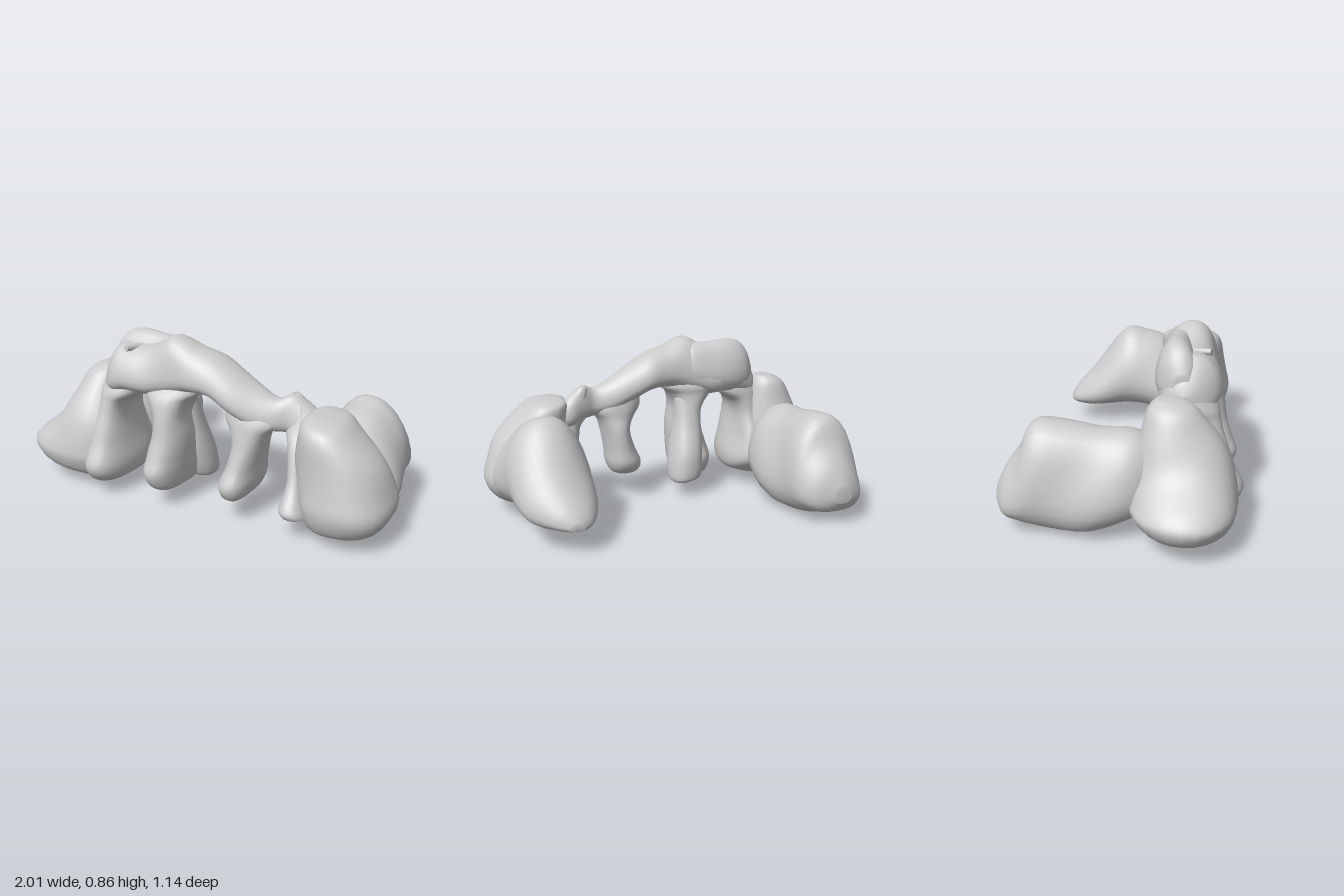
import * as THREE from 'three';

const SIDES = 28;
const STEPS = 5;

// Catmull-Rom blend of two neighbouring sections
function blend(rows, i, t) {
  const at = (k) => rows[Math.min(Math.max(k, 0), rows.length - 1)];
  const [a, b, c, d] = [at(i - 1), at(i), at(i + 1), at(i + 2)];
  return b.map((p1, k) => {
    const m1 = (c[k] - a[k]) / 2, m2 = (d[k] - p1) / 2;
    const t2 = t * t, t3 = t2 * t;
    return (2 * t3 - 3 * t2 + 1) * p1 + (t3 - 2 * t2 + t) * m1 + (3 * t2 - 2 * t3) * c[k] + (t3 - t2) * m2;
  });
}

// Weathered stone body lofted along one axis.
// Section: [position, centre u, centre v, radius u, radius v]
// axis x: u = z, v = y   axis y: u = x, v = z   axis z: u = x, v = y
// taper narrows u towards +v, power squares off the outline
function loft(name, axis, rows, { power = 2.3, taper = 0, bump = 0.008 } = {}) {
  const place = {
    x: (w, u, v) => [w, v, u],
    y: (w, u, v) => [u, w, v],
    z: (w, u, v) => [u, v, w],
  }[axis];
  const flip = axis !== 'z';
  const sections = [];
  for (let i = 0; i < rows.length - 1; i++) {
    for (let s = 0; s < STEPS; s++) sections.push(blend(rows, i, s / STEPS));
  }
  sections.push(rows[rows.length - 1]);

  const pos = [], index = [];
  const tri = (a, b, c) => (flip ? index.push(a, c, b) : index.push(a, b, c));
  const round = (n) => Math.sign(n) * Math.abs(n) ** (2 / power);
  for (const [w, cu, cv, ru, rv] of sections) {
    for (let j = 0; j < SIDES; j++) {
      const a = (j / SIDES) * Math.PI * 2;
      const v = round(Math.sin(a));
      const u = round(Math.cos(a)) * (1 - taper * v);
      const [x, y, z] = place(w, cu + ru * u, cv + rv * v);
      const n = bump * (Math.sin(13 * x + 9 * y) + Math.sin(15 * z - 11 * y + 2 * x));
      pos.push(...place(w, cu + ru * u + n * Math.cos(a), cv + rv * v + n * Math.sin(a)));
    }
  }
  const last = (sections.length - 1) * SIDES;
  for (let r = 0; r < last; r += SIDES) {
    for (let j = 0; j < SIDES; j++) {
      const k = (j + 1) % SIDES;
      tri(r + j, r + k, r + SIDES + j);
      tri(r + k, r + SIDES + k, r + SIDES + j);
    }
  }
  // end caps
  const c0 = pos.length / 3, c1 = c0 + 1;
  pos.push(...place(...rows[0].slice(0, 3)), ...place(...rows[rows.length - 1].slice(0, 3)));
  for (let j = 0; j < SIDES; j++) {
    const k = (j + 1) % SIDES;
    tri(c0, k, j);
    tri(c1, last + j, last + k);
  }
  const geo = new THREE.BufferGeometry();
  geo.setAttribute('position', new THREE.Float32BufferAttribute(pos, 3));
  geo.setIndex(index);
  geo.computeVertexNormals();
  const mesh = new THREE.Mesh(geo, new THREE.MeshStandardMaterial({ color: 0xcccccc, roughness: 0.9 }));
  mesh.name = name;
  return mesh;
}

export function createModel() {
  const group = new THREE.Group();
  group.name = 'rockArch';

  // Arched ridge that spans the boulders
  group.add(loft('archRidge', 'x', [
    [-0.54, 0.29, 0.58, 0.04, 0.05],
    [-0.51, 0.3, 0.6, 0.1, 0.09],
    [-0.44, 0.31, 0.65, 0.14, 0.125],
    [-0.36, 0.31, 0.67, 0.145, 0.11],
    [-0.25, 0.3, 0.68, 0.145, 0.125],
    [-0.13, 0.3, 0.715, 0.135, 0.15],
    [0, 0.3, 0.705, 0.13, 0.108],
    [0.1, 0.29, 0.69, 0.125, 0.092],
    [0.2, 0.29, 0.64, 0.115, 0.095],
    [0.3, 0.28, 0.59, 0.1, 0.095],
    [0.4, 0.27, 0.56, 0.08, 0.085],
    [0.47, 0.24, 0.56, 0.075, 0.1],
    [0.55, 0.22, 0.52, 0.08, 0.09],
    [0.62, 0.22, 0.5, 0.05, 0.05],
  ], { taper: 0.2 }));

  // Raised crest along the back of the ridge, behind the peg
  group.add(loft('ridgeCrest', 'x', [
    [-0.51, 0.27, 0.66, 0.04, 0.05],
    [-0.46, 0.25, 0.69, 0.08, 0.11],
    [-0.38, 0.235, 0.71, 0.085, 0.14],
    [-0.24, 0.235, 0.72, 0.085, 0.13],
    [-0.13, 0.25, 0.72, 0.085, 0.11],
    [-0.05, 0.27, 0.7, 0.05, 0.06],
  ], { taper: 0.2 }));

  // Pillars under the ridge, flared into it and spreading into long feet
  group.add(loft('rightPillar', 'y', [
    [0.07, -0.52, 0.38, 0.06, 0.1],
    [0.1, -0.5, 0.35, 0.11, 0.18],
    [0.18, -0.49, 0.32, 0.12, 0.25],
    [0.3, -0.48, 0.31, 0.09, 0.21],
    [0.42, -0.475, 0.31, 0.075, 0.165],
    [0.5, -0.465, 0.31, 0.085, 0.15],
    [0.56, -0.44, 0.31, 0.12, 0.14],
    [0.66, -0.42, 0.3, 0.1, 0.1],
  ]));
  group.add(loft('middleRightPillar', 'y', [
    [0.09, -0.14, 0.34, 0.05, 0.1],
    [0.12, -0.15, 0.33, 0.09, 0.18],
    [0.2, -0.16, 0.33, 0.105, 0.22],
    [0.28, -0.15, 0.33, 0.095, 0.19],
    [0.38, -0.13, 0.31, 0.08, 0.165],
    [0.48, -0.13, 0.31, 0.08, 0.15],
    [0.56, -0.14, 0.31, 0.125, 0.14],
    [0.61, -0.14, 0.3, 0.17, 0.13],
    [0.68, -0.14, 0.3, 0.14, 0.1],
  ]));
  group.add(loft('middleRightHeel', 'y', [
    [0.09, -0.06, 0.15, 0.04, 0.05],
    [0.12, -0.09, 0.16, 0.085, 0.09],
    [0.24, -0.1, 0.18, 0.09, 0.1],
    [0.4, -0.11, 0.22, 0.08, 0.08],
    [0.55, -0.12, 0.25, 0.08, 0.07],
  ]));
  group.add(loft('middleLeftPillar', 'y', [
    [0.12, 0.24, 0.38, 0.04, 0.06],
    [0.15, 0.24, 0.34, 0.08, 0.14],
    [0.21, 0.24, 0.32, 0.093, 0.18],
    [0.29, 0.255, 0.3, 0.075, 0.16],
    [0.39, 0.275, 0.28, 0.07, 0.13],
    [0.46, 0.28, 0.28, 0.1, 0.11],
    [0.52, 0.29, 0.28, 0.15, 0.1],
    [0.6, 0.27, 0.28, 0.12, 0.08],
  ]));
  group.add(loft('leftPillar', 'y', [
    [0.13, 0.57, 0.36, 0.07, 0.11],
    [0.17, 0.56, 0.35, 0.07, 0.13],
    [0.28, 0.55, 0.31, 0.05, 0.11],
    [0.42, 0.53, 0.27, 0.05, 0.09],
    [0.5, 0.51, 0.24, 0.075, 0.08],
    [0.6, 0.49, 0.23, 0.055, 0.06],
    [0.65, 0.47, 0.22, 0.025, 0.03],
  ]));

  // Front boulders
  group.add(loft('rightFrontBoulder', 'y', [
    [0.06, -0.58, 0.32, 0.09, 0.1],
    [0.09, -0.67, 0.31, 0.24, 0.2],
    [0.17, -0.695, 0.3, 0.3, 0.255],
    [0.24, -0.685, 0.3, 0.285, 0.25],
    [0.36, -0.63, 0.29, 0.215, 0.21],
    [0.5, -0.605, 0.27, 0.14, 0.165],
    [0.6, -0.595, 0.24, 0.09, 0.12],
    [0.64, -0.58, 0.22, 0.045, 0.06],
  ], { power: 2.1 }));
  group.add(loft('leftFrontBoulder', 'y', [
    [0.055, 0.71, 0.28, 0.08, 0.1],
    [0.09, 0.76, 0.28, 0.175, 0.18],
    [0.19, 0.77, 0.28, 0.225, 0.225],
    [0.3, 0.75, 0.28, 0.22, 0.215],
    [0.42, 0.72, 0.28, 0.195, 0.19],
    [0.53, 0.67, 0.27, 0.135, 0.165],
    [0.58, 0.645, 0.26, 0.1, 0.13],
    [0.6, 0.62, 0.25, 0.04, 0.06],
  ], { power: 2.2 }));

  // Long boulders reaching back
  group.add(loft('rightBackBoulder', 'z', [
    [-0.572, -0.65, 0.17, 0.04, 0.04],
    [-0.53, -0.64, 0.185, 0.12, 0.115],
    [-0.46, -0.63, 0.22, 0.165, 0.18],
    [-0.39, -0.625, 0.27, 0.185, 0.26],
    [-0.25, -0.62, 0.265, 0.205, 0.255],
    [-0.1, -0.62, 0.265, 0.21, 0.245],
    [0.05, -0.62, 0.28, 0.195, 0.215],
    [0.16, -0.62, 0.28, 0.15, 0.16],
  ], { taper: 0.26, power: 2.2 }));
  group.add(loft('leftBackBoulder', 'z', [
    [-0.452, 0.68, 0.15, 0.04, 0.03],
    [-0.41, 0.69, 0.18, 0.1, 0.065],
    [-0.3, 0.715, 0.235, 0.16, 0.125],
    [-0.13, 0.73, 0.335, 0.19, 0.23],
    [0, 0.735, 0.33, 0.21, 0.22],
    [0.12, 0.74, 0.31, 0.21, 0.215],
    [0.2, 0.74, 0.3, 0.17, 0.17],
  ], { taper: 0.24, power: 2.2 }));

  // Small peg sticking out of the ridge
  const peg = new THREE.Mesh(
    new THREE.CylinderGeometry(0.016, 0.016, 0.15, 10),
    new THREE.MeshStandardMaterial({ color: 0xcccccc }),
  );
  peg.name = 'peg';
  peg.position.set(-0.335, 0.785, 0.33);
  peg.quaternion.setFromUnitVectors(new THREE.Vector3(0, 1, 0), new THREE.Vector3(-0.35, 0.08, 0.93).normalize());
  group.add(peg);

  return group;
}
